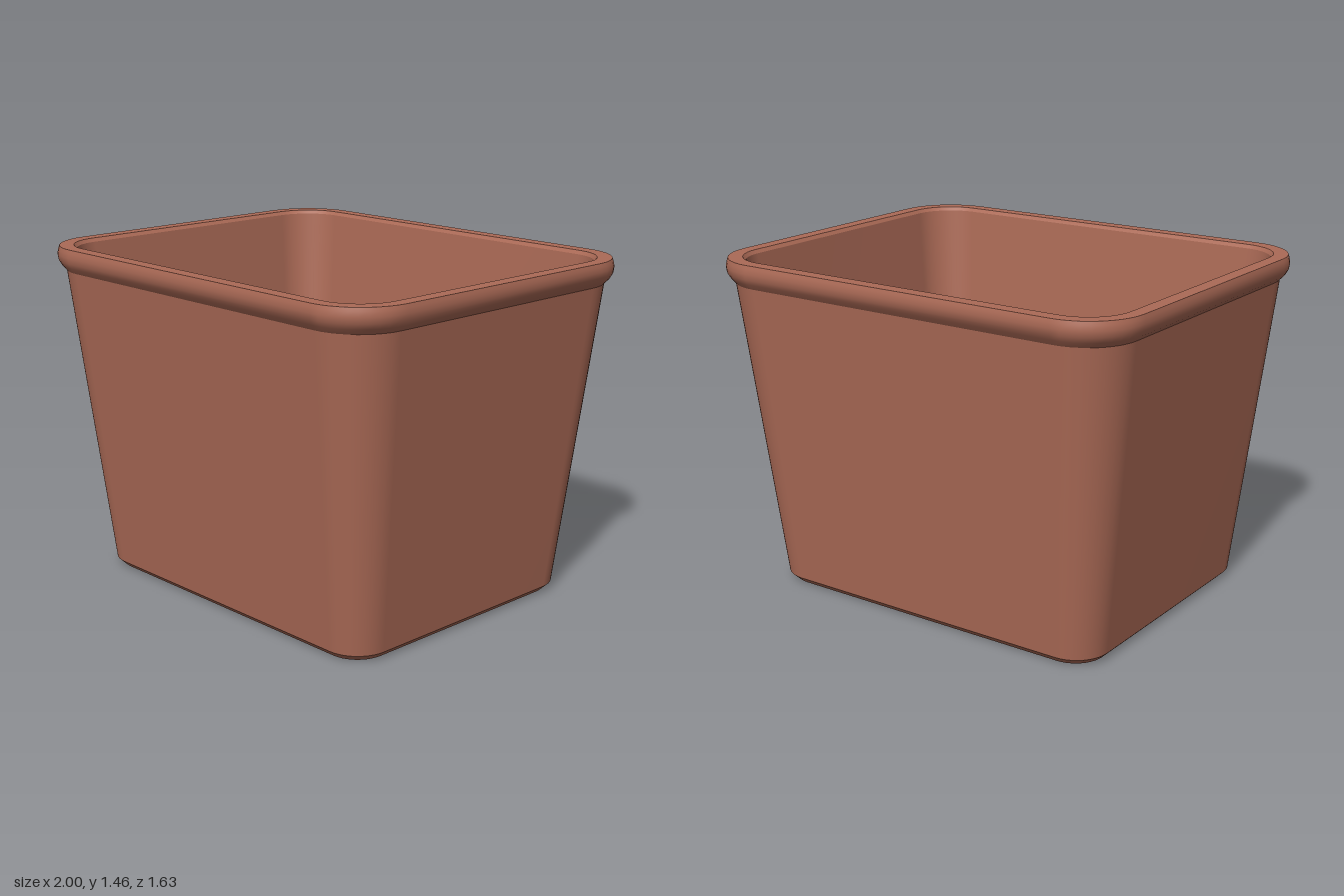
import * as THREE from 'three';

const CORNER_STEPS = 10;

// Horizontal rounded rectangle: half width, half depth, corner radius, height
function ring([hx, hz, r, y]) {
  const points = [];
  const signs = [[1, 1], [-1, 1], [-1, -1], [1, -1]];
  signs.forEach(([sx, sz], corner) => {
    for (let i = 0; i <= CORNER_STEPS; i++) {
      const a = (corner + i / CORNER_STEPS) * Math.PI / 2;
      points.push(sx * (hx - r) + r * Math.cos(a), y, sz * (hz - r) + r * Math.sin(a));
    }
  });
  return points;
}

// Smooth skin through a list of rings
function loft(sections) {
  const n = 4 * (CORNER_STEPS + 1);
  const index = [];
  for (let k = 0; k < sections.length - 1; k++) {
    for (let i = 0; i < n; i++) {
      const a = k * n + i, b = k * n + (i + 1) % n;
      index.push(a, a + n, b, b, a + n, b + n);
    }
  }
  const geometry = new THREE.BufferGeometry();
  geometry.setAttribute('position', new THREE.Float32BufferAttribute(sections.flatMap(ring), 3));
  geometry.setIndex(index);
  geometry.computeVertexNormals();
  return geometry;
}

export function createModel() {
  const group = new THREE.Group();
  group.name = 'planter';
  const terracotta = new THREE.MeshStandardMaterial({ color: 0xab6a56 });
  terracotta.name = 'terracotta';

  // Rings shared between neighbouring parts
  const base = [0.79, 0.61, 0.13, 0];
  const foot = [0.82, 0.64, 0.15, 0.03];
  const wallTop = [0.96, 0.782, 0.22, 1.35];
  const rimTop = [0.99, 0.807, 0.245, 1.455];
  const lip = [0.93, 0.747, 0.19, 1.455];
  const innerTop = [0.918, 0.735, 0.18, 1.44];
  const floor = [0.765, 0.583, 0.12, 0.06];

  const parts = {
    underside: [[0, 0, 0, 0], base],
    bottomBevel: [base, foot],
    outerWall: [foot, wallTop],
    // Rolled outer edge of the rim
    rimBand: [wallTop, [0.982, 0.798, 0.235, 1.372], [0.995, 0.812, 0.248, 1.395],
      [0.998, 0.815, 0.25, 1.42], [0.995, 0.812, 0.25, 1.44], rimTop],
    rimTop: [rimTop, lip],
    innerBevel: [lip, innerTop],
    innerWall: [innerTop, floor],
    innerFloor: [floor, [0, 0, 0, 0.06]],
  };

  for (const [name, sections] of Object.entries(parts)) {
    const mesh = new THREE.Mesh(loft(sections), terracotta);
    mesh.name = name;
    group.add(mesh);
  }
  return group;
}
